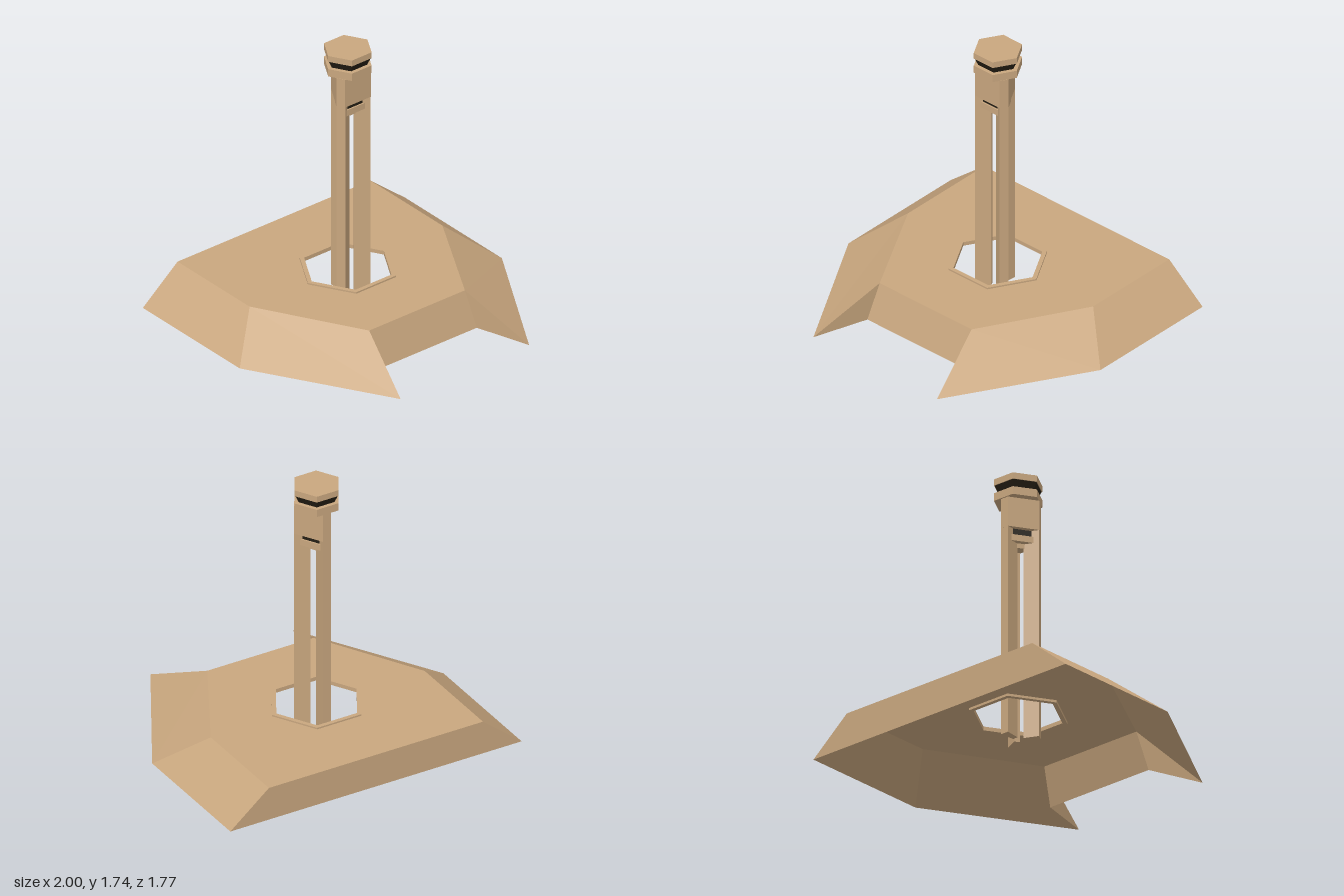
import * as THREE from 'three';

const tan = new THREE.MeshStandardMaterial({ color: 0xc8a67e, flatShading: true, side: THREE.DoubleSide });
const dark = new THREE.MeshStandardMaterial({ color: 0x241e14, flatShading: true });
const CX = -0.003, CZ = -0.2;

function add(parent, name, geometry, material = tan) {
  const mesh = new THREE.Mesh(geometry, material);
  mesh.name = name;
  parent.add(mesh);
  return mesh;
}

// [x, z] outline to shape / upright prism between two heights
const toVec = (pts) => pts.map(([x, z]) => new THREE.Vector2(x, -z));
function outline(pts, hole) {
  const shape = new THREE.Shape(toVec(pts));
  if (hole) shape.holes.push(new THREE.Path(toVec(hole)));
  return shape;
}
function prism(pts, y0, y1, hole) {
  const g = new THREE.ExtrudeGeometry(outline(pts, hole), { depth: y1 - y0, bevelEnabled: false });
  return g.rotateX(-Math.PI / 2).translate(0, y0, 0);
}

// Regular hexagon with corners on the x axis
function hexagon(r, cx = 0, cz = 0) {
  return Array.from({ length: 6 }, (_, i) => {
    const a = (i * Math.PI) / 3;
    return [cx + r * Math.cos(a), cz + r * Math.sin(a)];
  });
}

// Hexagon of three wide and three narrow sides: half width h, distance r
function threeSided(h, r) {
  const pts = [];
  for (let k = 0; k < 3; k++) {
    const a = (k * 2 * Math.PI) / 3, c = Math.cos(a), s = Math.sin(a);
    for (const x of [-h, h]) pts.push([x * c + r * s, -x * s + r * c]);
  }
  return pts;
}

function hexDrum(rTop, rBottom, y0, y1) {
  return new THREE.CylinderGeometry(rTop, rBottom, y1 - y0, 6)
    .rotateY(Math.PI / 6).translate(0, (y0 + y1) / 2, 0);
}

// Flat faces from corner loops, fanned into triangles
function panels(loops) {
  const pos = [];
  for (const l of loops)
    for (let i = 1; i < l.length - 1; i++) pos.push(...l[0], ...l[i], ...l[i + 1]);
  const g = new THREE.BufferGeometry();
  g.setAttribute('position', new THREE.Float32BufferAttribute(pos, 3));
  g.computeVertexNormals();
  return g;
}

function createBase() {
  const base = new THREE.Group();
  base.name = 'base';
  const top = 0.23, low = 0.012;

  // Deck with hexagonal opening
  const deck = [[-0.735, -0.89], [0.735, -0.89], [0.735, -0.22], [0.365, 0.44], [-0.365, 0.44], [-0.735, -0.22]];
  add(base, 'deck', new THREE.ShapeGeometry(outline(deck, hexagon(0.275, CX, CZ)))
    .rotateX(-Math.PI / 2).translate(0, top, 0));

  // Sloping skirt, mirrored left and right, open underneath
  for (const s of [1, -1]) {
    const p = (x, y, z) => [s * x, y, z];
    const faces = [
      [p(1, low, -0.89), p(0.735, top, -0.89), p(0.735, top, -0.22), p(1, low, 0.01)],
      [p(1, low, 0.01), p(0.735, top, -0.22), p(0.365, top, 0.44), p(0.49, low, 0.885)],
      [p(0.49, low, 0.885), p(0.365, top, 0.44), p(0.39, 0, 0.52)],
    ];
    if (s < 0) faces.forEach((f) => f.reverse());
    add(base, s > 0 ? 'leftSkirt' : 'rightSkirt', panels(faces));
  }
  add(base, 'frontWall', panels([[[-0.39, 0, 0.52], [0.39, 0, 0.52], [0.365, top, 0.44], [-0.365, top, 0.44]]]));
  add(base, 'backWall', panels([[[1, low, -0.89], [-1, low, -0.89], [-0.735, top, -0.89], [0.735, top, -0.89]]]));

  // Lip around the opening
  add(base, 'openingRim', prism(hexagon(0.305, CX, CZ), 0.215, 0.24, hexagon(0.275, CX, CZ)));
  return base;
}

function createTower() {
  const tower = new THREE.Group();
  tower.name = 'tower';
  tower.position.set(CX, 0, CZ);

  // Column, slightly ahead of the cap's depth centre
  const column = new THREE.Group();
  column.name = 'column';
  column.position.z = 0.007;
  tower.add(column);

  // Three tapering bars with grooves and gaps between them
  const bar = prism([[-0.0275, -0.128], [0.0275, -0.128], [0.0175, -0.031], [-0.0175, -0.031]], 0.07, 1.41);
  for (let k = 0; k < 3; k++) add(column, 'bar', bar).rotation.y = (k * 2 * Math.PI) / 3;

  // Solid head, dark slots and sills at the top of the grooves
  add(column, 'head', prism(threeSided(0.0975, 0.088), 1.41, 1.6));
  add(column, 'slots', prism(threeSided(0.058, 0.059), 1.37, 1.41), dark);
  add(column, 'sills', prism(threeSided(0.07, 0.068), 1.33, 1.37));
  add(column, 'corePlug', prism(threeSided(0.025, 0.035), 1.3, 1.33));

  // Cap
  add(tower, 'capLower', hexDrum(0.15, 0.15, 1.6, 1.65));
  add(tower, 'capBand', hexDrum(0.145, 0.122, 1.65, 1.7), dark);
  add(tower, 'capUpper', hexDrum(0.15, 0.15, 1.7, 1.74));
  return tower;
}

export function createModel() {
  const model = new THREE.Group();
  model.name = 'landingTower';
  model.add(createBase(), createTower());
  return model;
}
